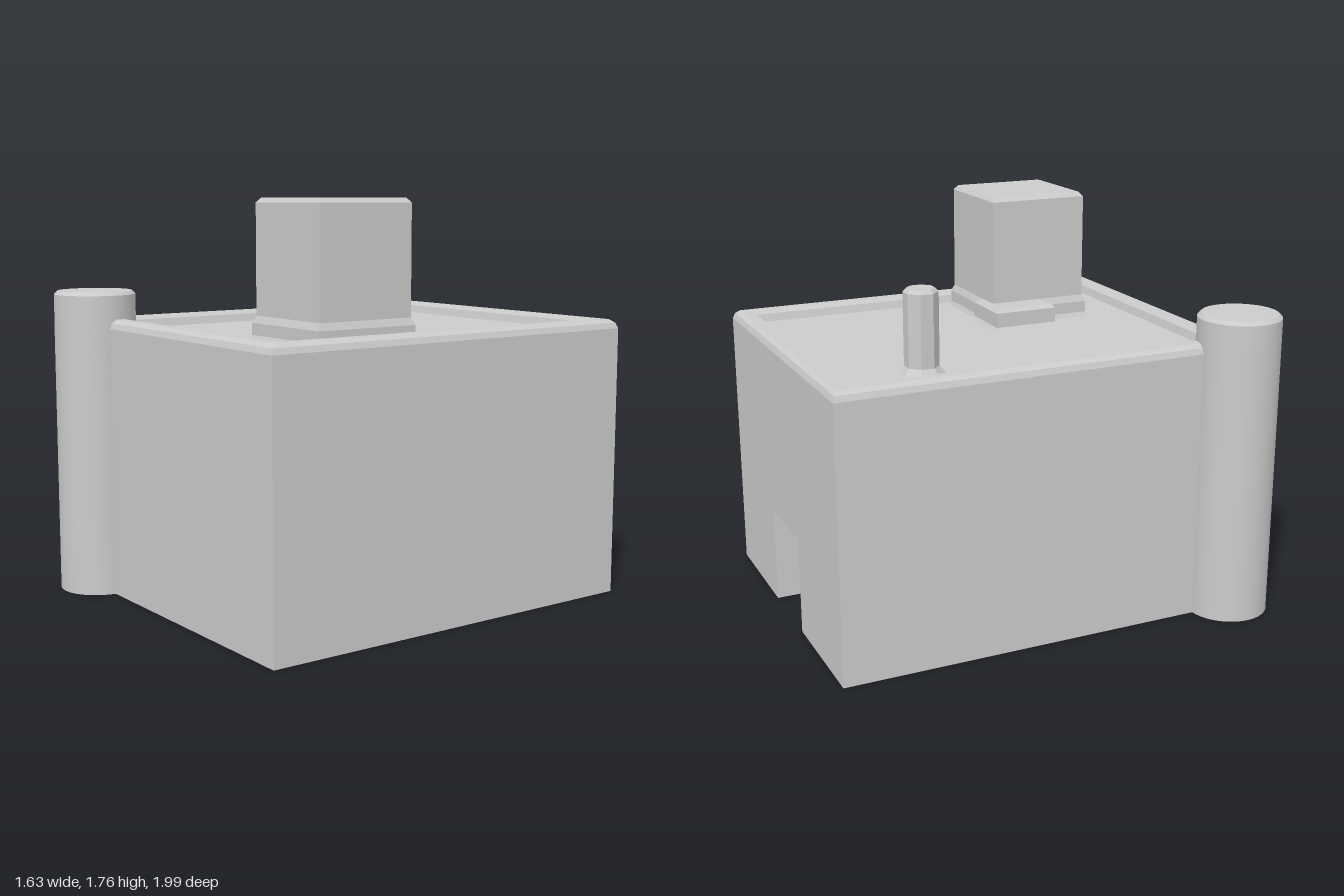
import * as THREE from 'three';

const material = new THREE.MeshStandardMaterial({ color: 0xcccccc, side: THREE.DoubleSide });

function named(name, geometry) {
  const mesh = new THREE.Mesh(geometry, material);
  mesh.name = name;
  return mesh;
}

// Flat-shaded geometry from four-cornered faces, corners counter-clockwise
function fromQuads(quads) {
  const pos = [];
  for (const [a, b, c, d] of quads) pos.push(...a, ...b, ...c, ...a, ...c, ...d);
  const g = new THREE.BufferGeometry();
  g.setAttribute('position', new THREE.Float32BufferAttribute(pos, 3));
  g.computeVertexNormals();
  return g;
}

// Stack of rectangular rings [inset, y] closed by a cap on the last ring
function rectLoft(x0, x1, z0, z1, profile) {
  const rings = profile.map(([i, y]) => [
    [x0 + i, y, z1 - i], [x1 - i, y, z1 - i], [x1 - i, y, z0 + i], [x0 + i, y, z0 + i],
  ]);
  const quads = [];
  for (let r = 0; r + 1 < rings.length; r++) {
    for (let j = 0; j < 4; j++) {
      const k = (j + 1) % 4;
      quads.push([rings[r][j], rings[r][k], rings[r + 1][k], rings[r + 1][j]]);
    }
  }
  quads.push(rings[rings.length - 1]);
  return fromQuads(quads);
}

function lathe(profile, sides) {
  return new THREE.LatheGeometry(profile.map(([r, y]) => new THREE.Vector2(r, y)), sides);
}

export function createModel() {
  const group = new THREE.Group();

  // Main block extents, wall height and roof floor height
  const X0 = -0.65, X1 = 0.81, Z0 = -1, Z1 = 0.83, H = 1.19, FLOOR = 1.18;
  // Tower centre and radius
  const TX = -0.64, TZ = 0.81, TR = 0.18;
  // Doorway extents
  const DX0 = -0.1, DX1 = 0.27, DH = 0.43, DZ = -0.8;

  // Walls, open underneath and open into the corner tower
  const fx = TX + TR, lz = TZ - TR;
  group.add(named('walls', fromQuads([
    [[fx, 0, Z1], [X1, 0, Z1], [X1, H, Z1], [fx, H, Z1]],
    [[X1, 0, Z1], [X1, 0, Z0], [X1, H, Z0], [X1, H, Z1]],
    [[X0, 0, Z0], [X0, 0, lz], [X0, H, lz], [X0, H, Z0]],
    // back wall around the doorway
    [[X1, 0, Z0], [DX1, 0, Z0], [DX1, H, Z0], [X1, H, Z0]],
    [[DX1, DH, Z0], [DX0, DH, Z0], [DX0, H, Z0], [DX1, H, Z0]],
    [[DX0, 0, Z0], [X0, 0, Z0], [X0, H, Z0], [DX0, H, Z0]],
  ])));

  // Recessed doorway: two sides, ceiling and inner wall
  group.add(named('doorway', fromQuads([
    [[DX1, 0, Z0], [DX1, 0, DZ], [DX1, DH, DZ], [DX1, DH, Z0]],
    [[DX0, 0, DZ], [DX0, 0, Z0], [DX0, DH, Z0], [DX0, DH, DZ]],
    [[DX1, DH, Z0], [DX1, DH, DZ], [DX0, DH, DZ], [DX0, DH, Z0]],
    [[DX1, 0, DZ], [DX0, 0, DZ], [DX0, DH, DZ], [DX1, DH, DZ]],
  ])));

  // Rounded parapet with the sunken roof inside it
  group.add(named('roof', rectLoft(X0, X1, Z0, Z1, [
    [0, H], [0.01, 1.215], [0.03, 1.23], [0.075, 1.23], [0.09, 1.215], [0.1, FLOOR],
  ])));

  // Round corner tower: open arc below the roof, full ring and cap above it
  const arcStart = THREE.MathUtils.degToRad(183), arcLength = THREE.MathUtils.degToRad(261);
  const shaft = named('towerShaft',
    new THREE.CylinderGeometry(TR, TR, FLOOR, 36, 1, true, arcStart, arcLength));
  shaft.position.set(TX, FLOOR / 2, TZ);
  const top = named('towerTop', lathe(
    [[TR, FLOOR], [TR, 1.335], [TR, 1.335], [0.165, 1.35], [0.165, 1.35], [0, 1.35]], 36));
  top.position.set(TX, 0, TZ);
  group.add(shaft, top);

  // Square chimney with flared foot and chamfered top
  group.add(named('chimney', rectLoft(0.2, 0.67, 0.04, 0.52, [
    [-0.01, FLOOR], [0, 1.2], [0, 1.25], [0.013, 1.28], [0.013, 1.74], [0.03, 1.76],
  ])));

  // Low block tucked against the chimney
  group.add(named('chimneyStep', rectLoft(0.07, 0.35, 0, 0.32, [
    [0, FLOOR], [0.015, 1.2], [0.015, 1.265], [0.03, 1.28],
  ])));

  // Thin faceted pipe at the back
  const pipe = named('pipe', lathe(
    [[0.095, FLOOR], [0.072, 1.21], [0.072, 1.515], [0.058, 1.53], [0, 1.53]], 8).toNonIndexed());
  pipe.geometry.computeVertexNormals();
  pipe.position.set(-0.37, 0, -0.53);
  pipe.rotation.y = Math.PI / 8;
  group.add(pipe);

  return group;
}
